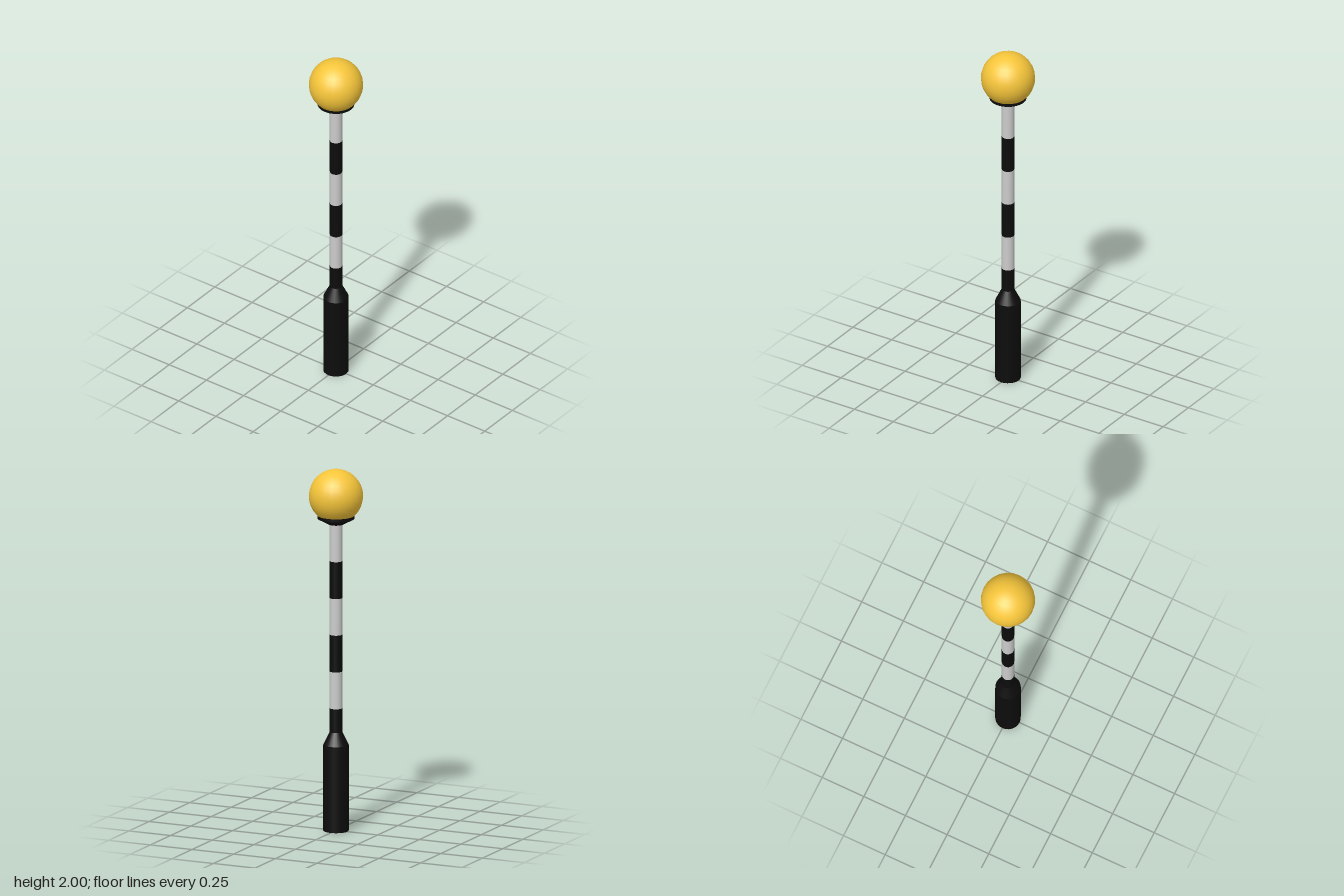
import * as THREE from 'three';

const SIDES = 24;
const grey = new THREE.MeshStandardMaterial({ color: 0xcccccc });
const black = new THREE.MeshStandardMaterial();
black.color.set(0x0c0c0c);
const amber = new THREE.MeshStandardMaterial();
amber.color.set(0xf5c53a);

// Upright round section between two heights
function section(name, y0, y1, r0, r1, material, open = true) {
  const geometry = new THREE.CylinderGeometry(r1, r0, y1 - y0, SIDES, 1, open);
  const mesh = new THREE.Mesh(geometry, material);
  mesh.name = name;
  mesh.position.y = (y0 + y1) / 2;
  return mesh;
}

export function createModel() {
  const model = new THREE.Group();
  model.name = 'crossingBeacon';

  // Thick base sleeve, its tapered shoulder and grey underside
  model.add(section('baseSleeve', 0, 0.476, 0.069, 0.069, black));
  model.add(section('baseShoulder', 0.476, 0.547, 0.069, 0.034, black));
  const underside = new THREE.Mesh(new THREE.CircleGeometry(0.069, SIDES), grey);
  underside.name = 'baseUnderside';
  underside.rotation.x = Math.PI / 2;
  model.add(underside);

  // Striped pole, alternating black and grey bands
  const pole = new THREE.Group();
  pole.name = 'stripedPole';
  const heights = [0.547, 0.678, 0.882, 1.086, 1.289, 1.493, 1.697];
  for (let i = 0; i < heights.length - 1; i++) {
    pole.add(section(`poleBand${i + 1}`, heights[i], heights[i + 1], 0.034, 0.034, i % 2 ? grey : black));
  }
  model.add(pole);

  // Cup that holds the lamp
  model.add(section('lampCupBottom', 1.697, 1.729, 0.04, 0.1, black, false));
  model.add(section('lampCupRim', 1.729, 1.764, 0.1, 0.1, black, false));

  // Lamp globe
  const globe = new THREE.Mesh(new THREE.SphereGeometry(0.147, SIDES, 16), amber);
  globe.name = 'lampGlobe';
  globe.position.y = 1.853;
  model.add(globe);

  return model;
}
